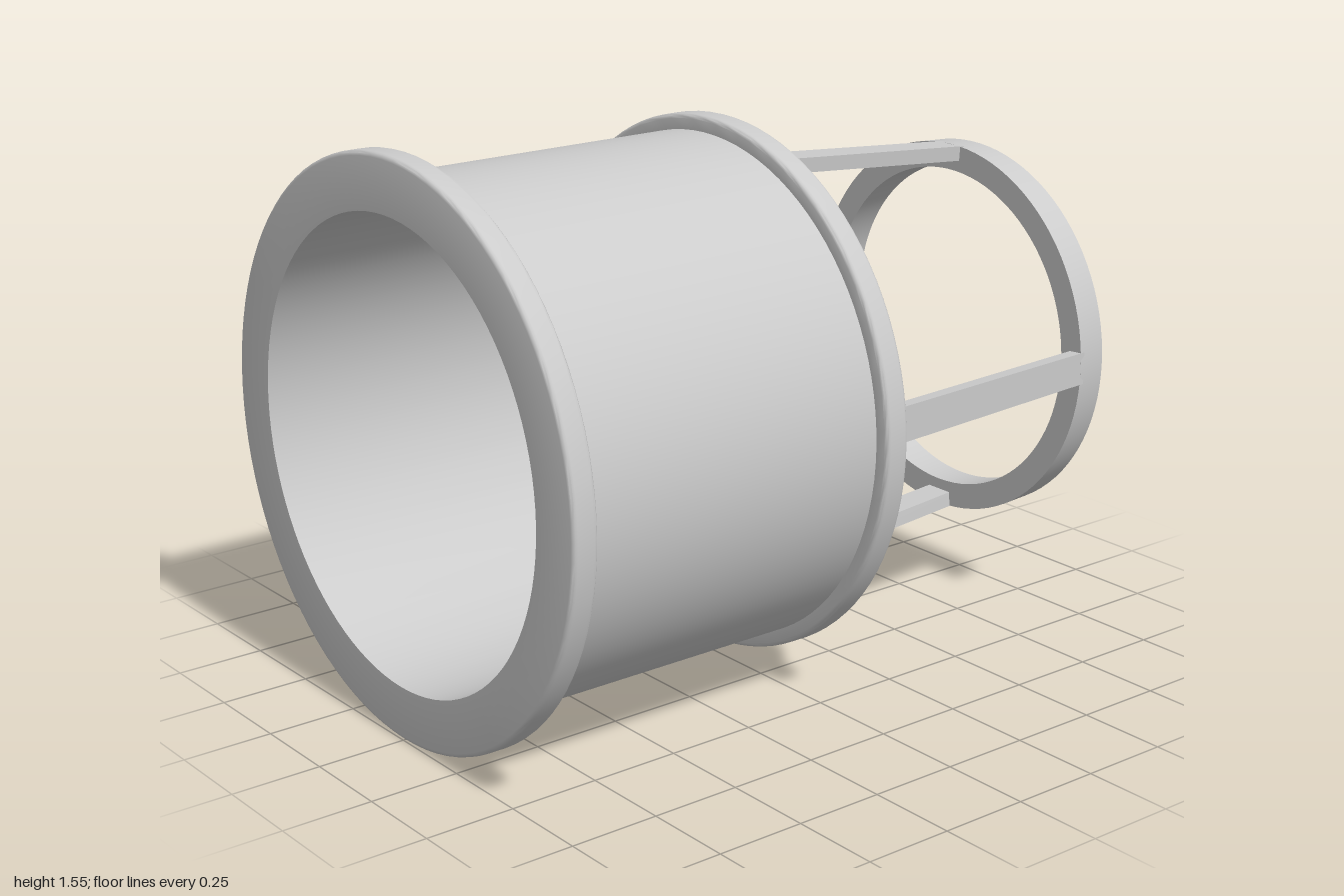
import * as THREE from 'three';
import { toCreasedNormals } from 'three/addons/utils/BufferGeometryUtils.js';

const CENTRE_Y = 0.775;
const material = new THREE.MeshStandardMaterial({ color: 0xcccccc });

// Closed profile of [radius, z], counter-clockwise, spun about the z axis
function turned(name, profile) {
  const points = [...profile, profile[0]].map(([r, z]) => new THREE.Vector2(r, z));
  const geometry = new THREE.LatheGeometry(points, 96).rotateX(Math.PI / 2);
  const mesh = new THREE.Mesh(toCreasedNormals(geometry, 0.6), material);
  mesh.name = name;
  return mesh;
}

// Outer corners of a flange, rounded in three short steps
function flangeRim(radius, z0, z1, b = 0.012) {
  const points = [];
  for (const [z, start] of [[z0 + b, -Math.PI / 2], [z1 - b, 0]]) {
    for (let i = 0; i <= 3; i++) {
      const a = start + (i / 3) * Math.PI / 2;
      points.push([radius - b + b * Math.cos(a), z + b * Math.sin(a)]);
    }
  }
  return points;
}

// Tapered bar leaning inwards from the body to the end ring
function createStrut() {
  const front = { z: -0.13, inner: 0.569, outer: 0.611, half: 0.05 };
  const back = { z: -0.92, inner: 0.505, outer: 0.548, half: 0.046 };
  const geometry = new THREE.BoxGeometry(1, 1, 1);
  const p = geometry.attributes.position;
  for (let i = 0; i < p.count; i++) {
    const end = p.getZ(i) > 0 ? front : back;
    const top = p.getY(i) > 0;
    const half = end.half * (top ? 1 : 0.93);
    p.setXYZ(i, Math.sign(p.getX(i)) * half, top ? end.outer : end.inner, end.z);
  }
  geometry.computeVertexNormals();
  return new THREE.Mesh(geometry, material);
}

export function createModel() {
  const model = new THREE.Group();
  const assembly = new THREE.Group();
  assembly.name = 'sleeveAssembly';
  assembly.position.y = CENTRE_Y;
  model.add(assembly);

  // Hollow sleeve with two flanges, a chamfered nose and an inner lip
  assembly.add(turned('sleeve', [
    [0.55, -0.15], [0.608, -0.15], [0.69, -0.072],
    ...flangeRim(0.742, -0.072, 0),
    [0.7, 0], [0.7, 0.928],
    ...flangeRim(0.775, 0.928, 1),
    [0.625, 1], [0.625, 0.005], [0.62, -0.007], [0.61, -0.012], [0.55, -0.012],
  ]));

  // Slim ring at the rear
  assembly.add(turned('endRing', [
    [0.475, -1], [0.541, -1], [0.545, -0.996], [0.55, -0.905], [0.475, -0.905],
  ]));

  // Four struts joining the sleeve to the ring
  for (let i = 0; i < 4; i++) {
    const strut = createStrut();
    strut.name = `strut${i + 1}`;
    strut.rotation.z = i * Math.PI / 2;
    assembly.add(strut);
  }
  return model;
}
